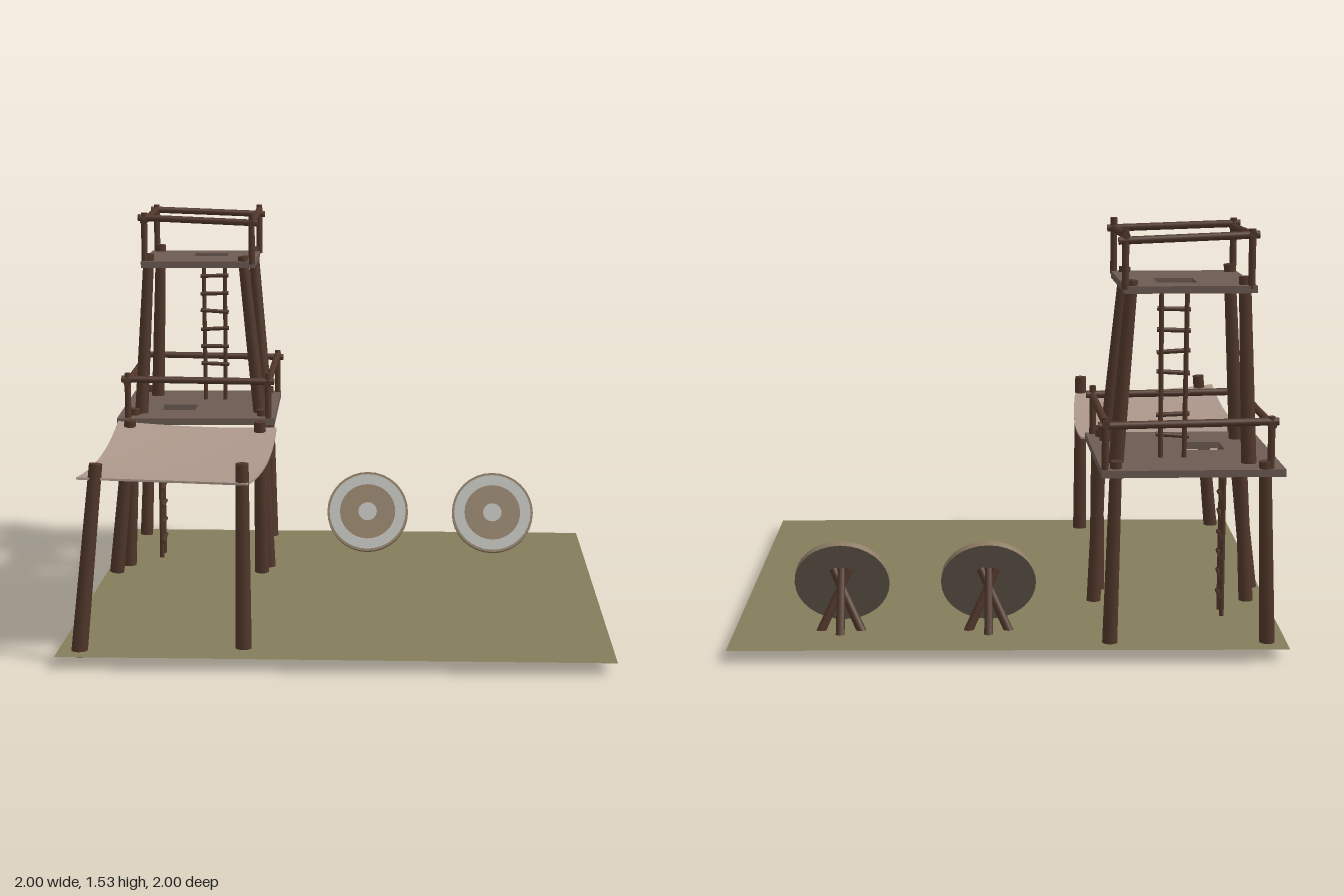
import * as THREE from 'three';

const mat = (color, extra = {}) => new THREE.MeshStandardMaterial({ color, ...extra });

export function createModel() {
  const model = new THREE.Group();
  const wood = mat(0x51372a), plank = mat(0x6d5b53), straw = mat(0x8c7a62);
  const paint = mat(0xb8b8b4), back = mat(0x6a6052);
  const cloth = mat(0xad988b, { side: THREE.DoubleSide });
  const grass = mat(0x857d5b, { side: THREE.DoubleSide });

  const add = (parent, name, geometry, material) => {
    const mesh = new THREE.Mesh(geometry, material);
    mesh.name = name;
    parent.add(mesh);
    return mesh;
  };
  const group = (name, parent = model) => {
    const g = new THREE.Group();
    g.name = name;
    parent.add(g);
    return g;
  };
  // Round timber running from point a to point b
  const pole = (parent, name, a, b, r0, r1 = r0) => {
    const p = new THREE.Vector3(...a), q = new THREE.Vector3(...b);
    const dir = q.clone().sub(p);
    const mesh = add(parent, name, new THREE.CylinderGeometry(r1, r0, dir.length(), 10), wood);
    mesh.position.copy(p).add(q).multiplyScalar(0.5);
    mesh.quaternion.setFromUnitVectors(new THREE.Vector3(0, 1, 0), dir.normalize());
    return mesh;
  };

  // Ground
  const ground = add(model, 'ground', new THREE.PlaneGeometry(2, 2), grass);
  ground.rotation.x = -Math.PI / 2;
  ground.position.y = 0.05;

  // Platform with a square ladder hatch; hx, hz are the hatch centre from the middle
  const platform = (parent, name, [x, y, z], w, d, t, hx, hz) => {
    const rect = (P, cx, cy, a, b) => {
      const s = new P();
      s.moveTo(cx - a, cy - b);
      s.lineTo(cx + a, cy - b);
      s.lineTo(cx + a, cy + b);
      s.lineTo(cx - a, cy + b);
      s.closePath();
      return s;
    };
    const shape = rect(THREE.Shape, 0, 0, w / 2, d / 2);
    shape.holes.push(rect(THREE.Path, hx, -hz, 0.072, 0.072));
    const geo = new THREE.ExtrudeGeometry(shape, { depth: t, bevelEnabled: false });
    geo.rotateX(-Math.PI / 2);
    const mesh = add(parent, name, geo, plank);
    mesh.position.set(x, y, z);
    mesh.rotation.y = 0.035;
  };

  // Corner stakes joined by overlapping rails; corners are [x, z] in order around
  const railing = (parent, corners, y0, y1, railY) => {
    const g = group('railing', parent);
    corners.forEach(([x, z], i) => {
      pole(g, 'railingPost', [x, y0, z], [x, y1, z], 0.013);
      const [u, v] = corners[(i + 1) % 4];
      const len = Math.hypot(u - x, v - z), ex = (u - x) / len * 0.025, ez = (v - z) / len * 0.025;
      const [ya, yb] = railY[i];
      pole(g, 'rail', [x - ex, ya, z - ez], [u + ex, yb, v + ez], 0.014);
    });
  };

  // Ladder between heights y0 and y1; turn swings it about its upright axis
  const ladder = (parent, x, z, y0, y1, count, turn) => {
    const g = group('ladder', parent);
    g.position.set(x, 0, z);
    g.rotation.y = turn;
    for (const s of [-1, 1]) {
      pole(g, 'ladderSide', [s * 0.043, y0, 0], [s * 0.046, y1, 0], 0.009);
    }
    for (let i = 0; i < count; i++) {
      const y = y0 + 0.085 + i * 0.0765, tilt = 0.004 * Math.cos(i * 2.3);
      pole(g, 'rung', [-0.06, y - tilt, 0.006], [0.06, y + tilt, 0.006], 0.0085);
    }
  };

  // Watchtower: base and top of each leg on both storeys
  const tower = group('watchtower');
  [
    [[-0.925, 0.03, -0.345], [-0.89, 0.72, -0.335]],
    [[-0.335, 0.03, -0.345], [-0.36, 0.72, -0.335]],
    [[-0.93, 0.05, -0.905], [-0.905, 0.72, -0.94]],
    [[-0.365, 0.05, -0.905], [-0.38, 0.72, -0.935]],
  ].forEach(([a, b]) => pole(tower, 'lowerLeg', a, b, 0.028, 0.022));
  [
    [[-0.87, 0.68, -0.385], [-0.83, 1.36, -0.4]],
    [[-0.375, 0.68, -0.42], [-0.44, 1.35, -0.4]],
    [[-0.86, 0.68, -0.84], [-0.835, 1.36, -0.82]],
    [[-0.385, 0.68, -0.83], [-0.435, 1.35, -0.845]],
  ].forEach(([a, b]) => pole(tower, 'upperLeg', a, b, 0.028, 0.022));
  platform(tower, 'lowerPlatform', [-0.64, 0.668, -0.612], 0.65, 0.72, 0.026, -0.09, 0.08);
  platform(tower, 'upperPlatform', [-0.633, 1.305, -0.616], 0.468, 0.512, 0.026, 0.035, -0.067);
  railing(tower, [[-0.925, -0.938], [-0.34, -0.958], [-0.33, -0.28], [-0.908, -0.265]], 0.68, 0.88,
    [[0.862, 0.85], [0.86, 0.84], [0.845, 0.855], [0.84, 0.85]]);
  railing(tower, [[-0.855, -0.853], [-0.41, -0.872], [-0.4, -0.362], [-0.845, -0.38]], 1.32, 1.53,
    [[1.51, 1.49], [1.51, 1.488], [1.49, 1.51], [1.495, 1.51]]);
  ladder(tower, -0.805, -0.52, 0.04, 0.67, 8, Math.PI / 2);
  ladder(tower, -0.595, -0.742, 0.69, 1.305, 8, 0);

  // Awning poles
  const awning = group('awning');
  [
    [[-0.955, 0.06, -0.19], [-0.885, 0.7, -0.165]],
    [[-0.355, 0.06, -0.215], [-0.355, 0.7, -0.155]],
    [[-0.925, 0.03, 0.912], [-0.855, 0.73, 0.885]],
    [[-0.335, 0.03, 0.86], [-0.335, 0.73, 0.86]],
  ].forEach(([a, b]) => pole(awning, 'awningPole', a, b, 0.03, 0.024));

  // Sagging cloth: a thin slab with drawn-in front edge
  const slab = new THREE.BoxGeometry(1, 0.008, 1, 16, 1, 28);
  const p = slab.attributes.position;
  for (let i = 0; i < p.count; i++) {
    const u = p.getX(i) * 2, v = p.getZ(i) * 2;
    const acrossU = 1 - u * u, acrossV = 1 - v * v;
    const x = -0.618 + u * 0.315 - 0.012 * v * u + 0.016 * acrossV * (u > 0 ? u : u * -0.5);
    const z = 0.345 + v * (0.565 - 0.008 * u)
      - (v > 0 ? 0.04 * acrossU * v : 0) + (v < 0 ? -0.008 * acrossU * v : 0);
    const sag = 0.034 * acrossV + 0.008 * acrossU;
    p.setXYZ(i, x, 0.672 - 0.01 * u - sag + p.getY(i), z);
  }
  slab.computeVertexNormals();
  add(awning, 'cloth', slab, cloth);

  // Archery targets leaning on tripods
  for (const x of [0.07, 0.61]) {
    const target = group('target');
    target.position.x = x;
    const face = group('targetFace', target);
    face.position.set(0, 0.215, -0.662);
    face.rotation.x = -0.43;
    const disc = add(face, 'disc', new THREE.CylinderGeometry(0.175, 0.175, 0.026, 32), [straw, straw, back]);
    disc.rotation.x = Math.PI / 2;
    [[0.12, 0.165, paint], [0.04, 0.12, straw], [0, 0.04, paint]].forEach(([r0, r1, m]) => {
      const geo = r0 ? new THREE.RingGeometry(r0, r1, 32) : new THREE.CircleGeometry(r1, 24);
      add(face, 'ring', geo, m).position.z = 0.0145;
    });
    for (const s of [-1, 1]) {
      pole(target, 'sideLeg', [s * 0.09, 0.012, -0.748], [s * -0.03, 0.27, -0.698], 0.018, 0.015);
    }
    pole(target, 'rearLeg', [0, 0.035, -0.805], [0, 0.27, -0.7], 0.017, 0.014);
  }
  return model;
}
